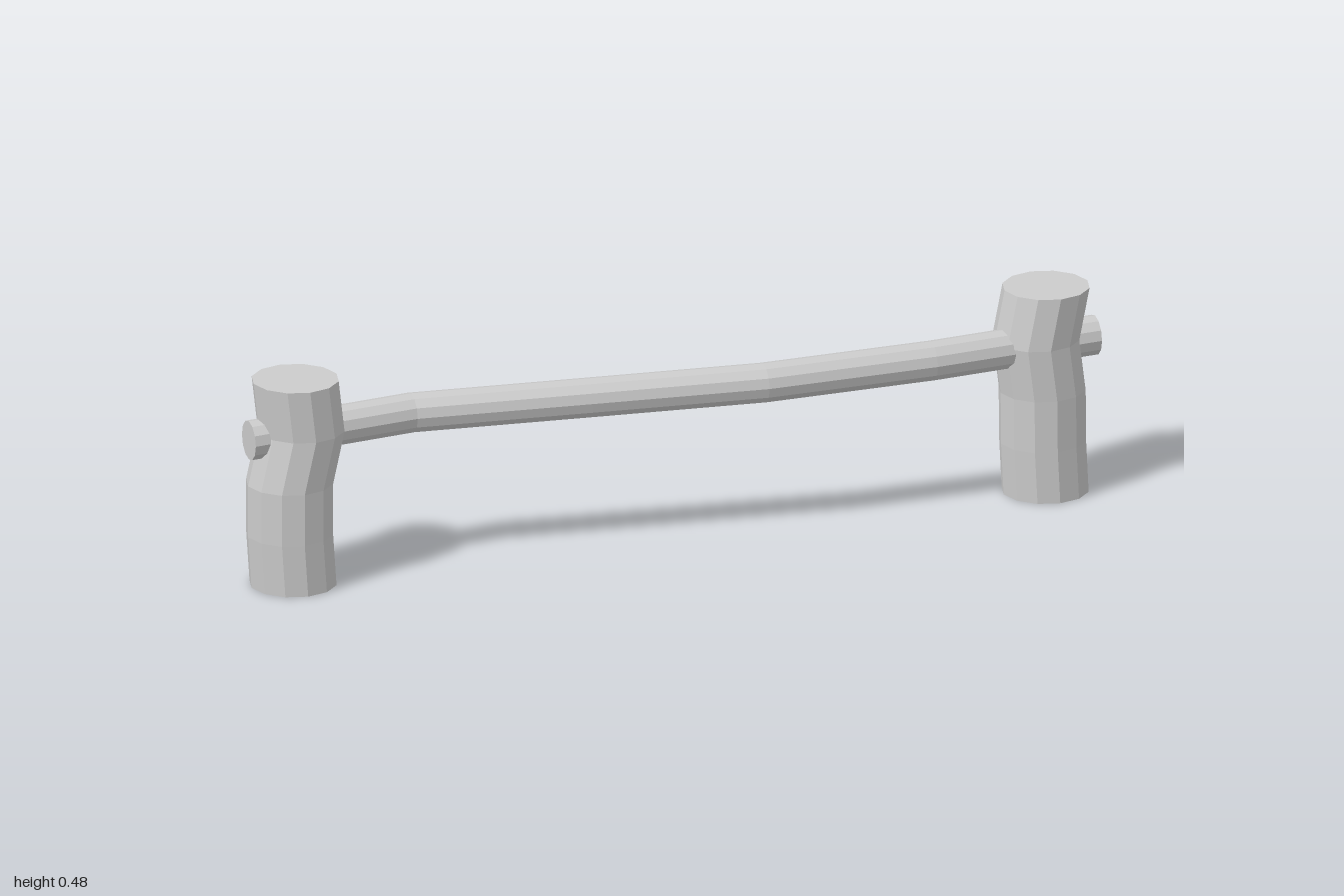
import * as THREE from 'three';

const material = new THREE.MeshStandardMaterial({ color: 0xcccccc, flatShading: true });

// Straight 12-sided log along y, its rings shifted sideways to give a natural bend
function bentLog(radius, length, offsets, axis) {
  const rows = offsets.length - 1;
  const geometry = new THREE.CylinderGeometry(radius, radius, length, 12, rows);
  const p = geometry.attributes.position;
  for (let i = 0; i < p.count; i++) {
    const row = Math.round((p.getY(i) / length + 0.5) * rows);
    if (axis === 'x') p.setX(i, p.getX(i) + offsets[row]);
    else p.setZ(i, p.getZ(i) + offsets[row]);
  }
  return geometry;
}

function addMesh(group, name, geometry) {
  geometry.computeVertexNormals();
  const mesh = new THREE.Mesh(geometry, material);
  mesh.name = name;
  group.add(mesh);
}

export function createModel() {
  const group = new THREE.Group();
  group.name = 'logHurdle';

  // Upright posts, pinched inward at rail height
  const posts = {
    rightPost: [-0.894, -0.902, -0.902, -0.875, -0.889],
    leftPost: [0.882, 0.876, 0.875, 0.86, 0.884],
  };
  for (const [name, centres] of Object.entries(posts)) {
    addMesh(group, name, bentLog(0.098, 0.48, centres, 'x').translate(0, 0.24, 0));
  }

  // Crooked rail through both posts, listed from -x to +x
  const rail = bentLog(0.045, 2, [0.005, -0.043, 0, 0.042, 0.035, 0], 'z');
  addMesh(group, 'rail', rail.rotateZ(-Math.PI / 2).translate(0, 0.35, 0));

  return group;
}
